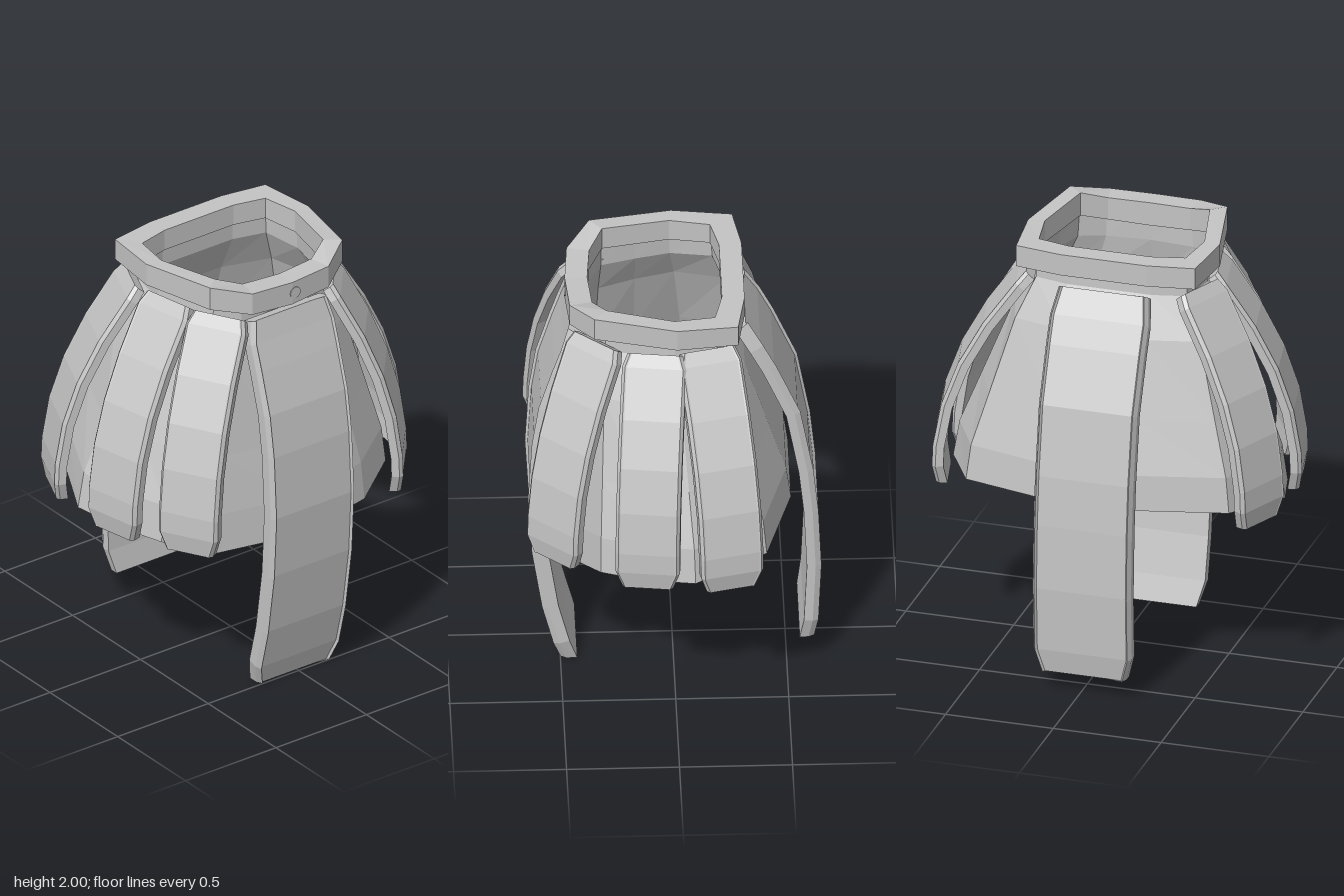
import * as THREE from 'three';

const CENTRE = -0.015;

// Skin a list of equal-length point rings; optionally join the last to the first or cap the ends
function loft(rings, { loop = false, caps = false } = {}) {
  const n = rings[0].length, m = rings.length, index = [];
  for (let i = 0; i < (loop ? m : m - 1); i++) {
    for (let j = 0; j < n; j++) {
      const k = (i + 1) % m, l = (j + 1) % n;
      const a = i * n + j, b = i * n + l, c = k * n + l, d = k * n + j;
      index.push(a, d, c, a, c, b);
    }
  }
  if (caps) {
    const e = (m - 1) * n;
    for (let j = 1; j < n - 1; j++) index.push(0, j, j + 1, e, e + j + 1, e + j);
  }
  const geo = new THREE.BufferGeometry();
  geo.setAttribute('position', new THREE.Float32BufferAttribute(rings.flat(2), 3));
  geo.setIndex(index);
  const flat = geo.toNonIndexed();
  flat.computeVertexNormals();
  return flat;
}

// Curved strap with chamfered side rails and a level lower end;
// path = [outward distance, height] from top to bottom
function strapGeometry(path, half, thick, rail) {
  const end = path.length - 1;
  const rings = path.map(([d, y], i) => {
    const p = path[Math.max(i - 1, 0)], q = path[Math.min(i + 1, end)];
    const len = Math.hypot(q[0] - p[0], q[1] - p[1]);
    const nd = i === end ? 1 : (p[1] - q[1]) / len;
    const ny = i === end ? 0 : (q[0] - p[0]) / len;
    const w = half - (i === 0 ? 0.02 : i === end ? 0.03 : 0);
    const section = [
      [-w, -thick], [-w, -0.014], [-w + 0.014, rail], [-w + 0.022, 0],
      [w - 0.022, 0], [w - 0.014, rail], [w, -0.014], [w, -thick],
    ];
    return section.map(([x, o]) => [x, y + ny * o, d + nd * o]);
  });
  return loft(rings, { caps: true });
}

// Mirror a half outline (front to back along +x) into a full ring
function mirrorRing(half) {
  const other = half.slice(1, -1).reverse().map(([x, y, z]) => [-x, y, z]);
  return [...half, ...other].map(([x, y, z]) => [x + CENTRE, y, z]);
}

export function createModel() {
  const model = new THREE.Group();
  const grey = new THREE.MeshStandardMaterial({ color: 0xc4c4c4, flatShading: true, side: THREE.DoubleSide });
  grey.name = 'grey';
  const add = (name, geo) => {
    const mesh = new THREE.Mesh(geo, grey);
    mesh.name = name;
    model.add(mesh);
    return mesh;
  };

  // Belt: outer x, z, inner x, z, bottom y, top y
  const beltHalf = [
    [0, 0.475, 0, 0.375, 1.85, 1.96],
    [0.21, 0.46, 0.19, 0.36, 1.86, 1.965],
    [0.365, 0.355, 0.3, 0.3, 1.89, 2.0],
    [0.445, -0.01, 0.37, 0, 1.88, 1.985],
    [0.415, -0.28, 0.34, -0.18, 1.88, 1.98],
    [0.2, -0.315, 0.19, -0.215, 1.88, 1.98],
    [0, -0.315, 0, -0.215, 1.88, 1.98],
  ];
  const beltOther = beltHalf.slice(1, -1).reverse().map(([a, b, c, ...r]) => [-a, b, -c, ...r]);
  const beltRings = [...beltHalf, ...beltOther].map(([ox, oz, ix, iz, lo, hi]) => [
    [ox + CENTRE, lo, oz], [ox + CENTRE, hi, oz], [ix + CENTRE, hi, iz], [ix + CENTRE, lo, iz],
  ]);
  add('belt', loft(beltRings, { loop: true }));
  const stud = add('beltStud', new THREE.CylinderGeometry(0.028, 0.028, 0.008, 12));
  stud.rotation.x = Math.PI / 2;
  stud.position.set(0, 1.905, 0.474);

  // Open cloth skirt: upright neck inside the belt, then flaring from waist outline to hem outline
  const waist = [[0, 0.38], [0.195, 0.365], [0.303, 0.303], [0.342, 0.15], [0.373, 0], [0.343, -0.183], [0.193, -0.219], [0, -0.219]];
  const hem = [
    [0, 0.71, 0.535], [0.42, 0.71, 0.445], [0.62, 0.79, 0.335], [0.71, 0.81, 0.15],
    [0.77, 0.83, -0.08], [0.61, 0.87, -0.4], [0.21, 0.88, -0.52], [0, 0.88, -0.52],
  ];
  const blend = [[0, 0], [0.14, 0.03], [0.31, 0.32], [0.63, 0.68], [0.85, 0.93], [1, 1]];
  add('skirt', loft(blend.map(([v, f]) => mirrorRing(hem.map(([x, y, z], i) => [
    THREE.MathUtils.lerp(waist[i][0], x, f),
    THREE.MathUtils.lerp(1.95, y, v),
    THREE.MathUtils.lerp(waist[i][1], z, f),
  ])))));

  // Long front and back straps
  const frontPath = [
    [0.455, 1.82], [0.485, 1.72], [0.525, 1.6], [0.585, 1.4], [0.615, 1.2], [0.632, 0.9],
    [0.615, 0.6], [0.57, 0.3], [0.52, 0.1], [0.487, 0],
  ];
  const backPath = [
    [0.32, 1.83], [0.385, 1.72], [0.445, 1.6], [0.55, 1.35], [0.607, 1.03], [0.63, 0.8],
    [0.643, 0.5], [0.63, 0.2], [0.612, 0.09],
  ];
  add('frontStrap', strapGeometry(frontPath, 0.228, 0.062, 0.012)).position.x = CENTRE;
  const back = add('backStrap', strapGeometry(backPath, 0.228, 0.053, 0.012));
  back.position.x = CENTRE;
  back.rotation.y = Math.PI;

  // Short side straps: waist point and outermost point as x, z
  const curve = [
    [-0.01, 1.85], [0.1, 1.8], [0.45, 1.6], [0.72, 1.4], [0.9, 1.2], [0.99, 1.0], [1, 0.9], [0.96, 0.81],
  ];
  const sides = [
    ['rightBackStrap', -0.43, -0.18, -0.765, -0.327],
    ['rightMiddleStrap', -0.43, 0.1, -0.795, 0.175],
    ['rightFrontStrap', -0.34, 0.36, -0.635, 0.525],
    ['leftBackStrap', 0.39, -0.15, 0.79, -0.245],
    ['leftMiddleStrap', 0.42, 0.09, 0.77, 0.135],
    ['leftFrontStrap', 0.31, 0.355, 0.545, 0.555],
  ];
  for (const [name, x0, z0, x1, z1] of sides) {
    const reach = Math.hypot(x1 - x0, z1 - z0);
    const strap = add(name, strapGeometry(curve.map(([r, y]) => [r * reach, y]), 0.143, 0.05, 0.002));
    strap.position.set(x0, 0, z0);
    strap.rotation.y = Math.atan2(x1 - x0, z1 - z0);
  }
  return model;
}
